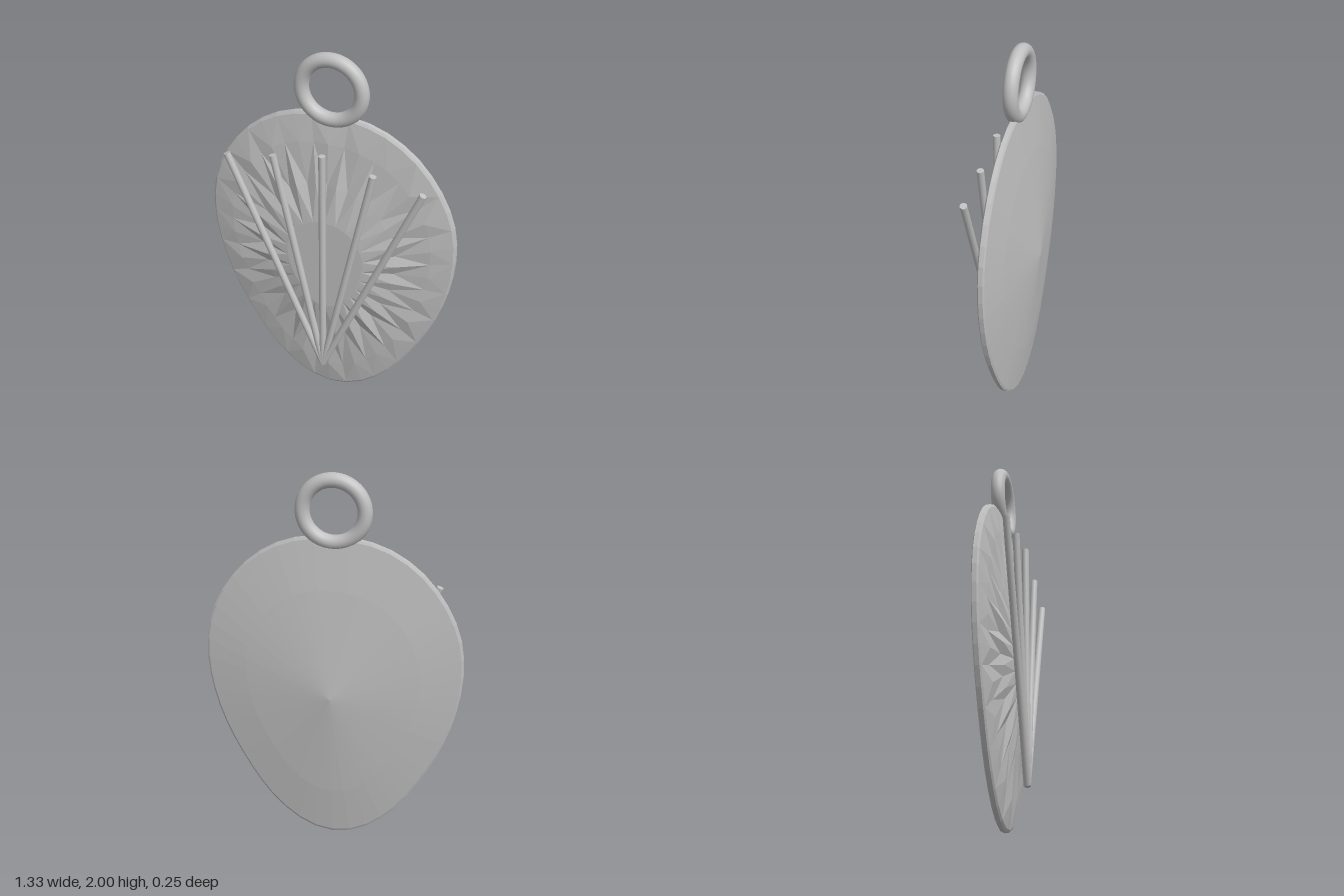
import * as THREE from 'three';

const SEGMENTS = 48;
const CENTER_Y = 0.85;

// Egg-shaped outline, widest above the middle
function makeOutline() {
  const half = [[0.16, 1.672], [0.31, 1.62], [0.455, 1.515], [0.58, 1.35], [0.645, 1.19], [0.664, 1.03],
    [0.645, 0.83], [0.58, 0.61], [0.465, 0.38], [0.335, 0.19], [0.2, 0.07], [0.1, 0.02]];
  const right = half.map(([x, y]) => new THREE.Vector3(x, y, 0));
  const left = half.map(([x, y]) => new THREE.Vector3(-x, y, 0)).reverse();
  const curve = new THREE.CatmullRomCurve3(
    [new THREE.Vector3(0, 1.685, 0), ...right, new THREE.Vector3(0, 0.003, 0), ...left], true);
  return curve.getSpacedPoints(SEGMENTS).slice(0, SEGMENTS);
}

// Flat-faced skin between scaled copies of the outline, listed from front to back
function loft(outline, rings) {
  const pos = [], index = [];
  rings.forEach(({ s, z, cut = () => 0 }) => outline.forEach((p, i) =>
    pos.push(p.x * s, CENTER_Y + (p.y - CENTER_Y) * s, z + cut(i))));
  for (let r = 0; r < rings.length - 1; r++) {
    for (let i = 0; i < SEGMENTS; i++) {
      const j = (i + 1) % SEGMENTS;
      const a = r * SEGMENTS + i, b = r * SEGMENTS + j, c = a + SEGMENTS, d = b + SEGMENTS;
      // Alternate the diagonals so the facets form spikes
      if (i % 2) index.push(a, b, c, b, d, c);
      else index.push(a, d, c, a, b, d);
    }
  }
  const geo = new THREE.BufferGeometry();
  geo.setAttribute('position', new THREE.Float32BufferAttribute(pos, 3));
  geo.setIndex(index);
  const flat = geo.toNonIndexed();
  flat.computeVertexNormals();
  return flat;
}

export function createModel() {
  const group = new THREE.Group();
  const silver = new THREE.MeshStandardMaterial({ color: 0xc0c0c0 });
  silver.name = 'silver';
  const add = (name, geo) => {
    const mesh = new THREE.Mesh(geo, silver);
    mesh.name = name;
    group.add(mesh);
    return mesh;
  };

  const outline = makeOutline();
  const wobble = (i) => Math.sin(i * 2.4) * 0.003;

  // Cut front: flat table surrounded by radiating facets
  add('facetedFront', loft(outline, [
    { s: 0, z: 0.08 },
    { s: 0.31, z: 0.08 },
    { s: 0.55, z: 0.052, cut: (i) => (i % 2 ? 0.006 : -0.01) + wobble(i) },
    { s: 0.82, z: 0.023, cut: (i) => (i % 2 ? -0.004 : 0.004) + wobble(i + 3) },
    { s: 0.985, z: 0.003 },
  ]));

  // Bevelled edge band
  add('rim', loft(outline, [
    { s: 0.985, z: 0.003 },
    { s: 1, z: -0.005 },
    { s: 1, z: -0.027 },
    { s: 0.985, z: -0.033 },
  ]));

  // Shallow cone behind
  add('conicalBack', loft(outline, [
    { s: 0.985, z: -0.033 },
    { s: 0.68, z: -0.067 },
    { s: 0, z: -0.125 },
  ]));

  // Hanging ring
  add('hangingRing', new THREE.TorusGeometry(0.155, 0.037, 20, 64)).position.set(0, 1.808, -0.012);

  // Fan of thin rods floating in front
  const up = new THREE.Vector3(0, 1, 0);
  const base = new THREE.Vector3(0, 0.22, 0.105);
  [[-0.515, 1.415], [-0.262, 1.46], [0, 1.512], [0.262, 1.46], [0.515, 1.415]].forEach(([x, y], i) => {
    const dir = new THREE.Vector3(x, y, 0.105).sub(base);
    const rod = add('fanRod' + (i + 1), new THREE.CylinderGeometry(0.018, 0.018, dir.length(), 16));
    rod.position.copy(base).addScaledVector(dir, 0.5);
    rod.quaternion.setFromUnitVectors(up, dir.normalize());
  });

  return group;
}
